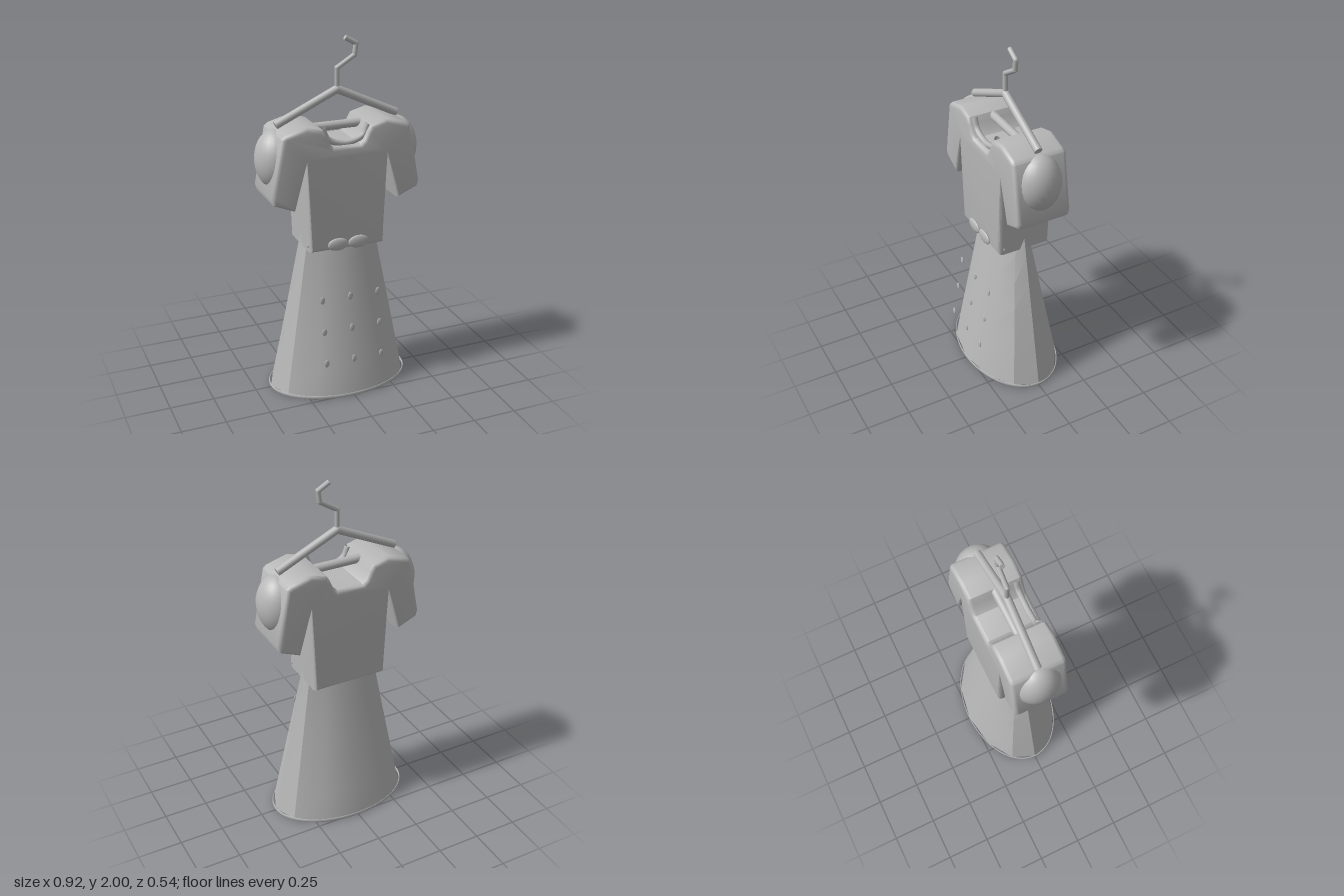
import * as THREE from 'three';
import { toCreasedNormals } from 'three/addons/utils/BufferGeometryUtils.js';

export function createModel() {
  const model = new THREE.Group();
  const grey = new THREE.MeshStandardMaterial({ color: 0xb8b8b8, side: THREE.DoubleSide });
  grey.name = 'plain grey';

  const add = (name, geometry, x = 0, y = 0, z = 0) => {
    const mesh = new THREE.Mesh(geometry, grey);
    mesh.name = name;
    mesh.position.set(x, y, z);
    model.add(mesh);
    return mesh;
  };
  const ellipsoid = (rx, ry, rz, w = 24, h = 16) =>
    new THREE.SphereGeometry(1, w, h).scale(rx, ry, rz);

  // Straight round rod between two points in the hanger plane
  const rod = (name, [x1, y1], [x2, y2], r, sides = 12) => {
    const dx = x2 - x1, dy = y2 - y1;
    const mesh = add(name, new THREE.CylinderGeometry(r, r, Math.hypot(dx, dy), sides),
      (x1 + x2) / 2, (y1 + y2) / 2, 0);
    mesh.rotation.z = -Math.atan2(dx, dy);
  };

  // Bodice with short sleeves: half outline, mirrored and extruded
  const half = [
    [0.215, 0.865], [0.232, 1.36], [0.295, 1.115], [0.415, 1.165], [0.425, 1.2],
    [0.365, 1.52], [0.345, 1.537], [0.225, 1.57], [0.135, 1.545], [0.115, 1.51], [0.095, 1.465], [0.075, 1.447],
  ];
  const outline = [...half, ...half.map(([x, y]) => [-x, y]).reverse()];
  const shape = new THREE.Shape(outline.map(([x, y]) => new THREE.Vector2(x, y)));
  const bevel = 0.022;
  const bodice = new THREE.ExtrudeGeometry(shape, {
    depth: 0.31 - 2 * bevel, bevelEnabled: true, bevelThickness: bevel,
    bevelSize: bevel, bevelOffset: -bevel, bevelSegments: 4,
  });
  bodice.translate(0, 0, -0.155 + bevel);
  add('bodice', toCreasedNormals(bodice, 0.7));

  // Open twelve-sided flared skirt, oval in plan
  const skirt = new THREE.CylinderGeometry(1, 1, 1, 12, 6, true).translate(0, 0.5, 0);
  const p = skirt.attributes.position;
  for (let i = 0; i < p.count; i++) {
    const y = 0.01 + p.getY(i) * 0.97;
    p.setXYZ(i, p.getX(i) * (0.41 - 0.207 * y), y, p.getZ(i) * (0.268 - 0.198 * y));
  }
  add('skirt', toCreasedNormals(skirt, 0.55));

  // Smooth hem ring
  const hem = new THREE.TorusGeometry(1, 0.01, 8, 64).rotateX(Math.PI / 2).scale(0.408, 1, 0.266);
  add('hem', hem, 0, 0.01, 0);

  // Rows of buttons on the skirt front
  [[0.235, 0.257], [0.415, 0.226], [0.595, 0.196]].forEach(([y, z]) => {
    for (const x of [-0.165, 0, 0.165]) add('button', ellipsoid(0.015, 0.023, 0.005, 12, 8), x, y, z);
  });

  for (const side of [-1, 1]) {
    add('puffSleeve', ellipsoid(0.112, 0.163, 0.127), side * 0.35, 1.373, 0);
    add('bowLoop', ellipsoid(0.06, 0.036, 0.013), side * 0.06, 0.9, 0.163);
    rod('hangerArm', [0, 1.717], [side * 0.347, 1.556], 0.022);
  }

  // Sash inside the waist, its ends just showing at the sides
  add('sash', ellipsoid(0.228, 0.03, 0.014), 0, 0.9, 0.125);

  // Collar trim around the front of the neck
  const collarPath = new THREE.CatmullRomCurve3(
    [[-0.128, 1.545], [-0.1, 1.485], [0, 1.453], [0.1, 1.485], [0.128, 1.545]]
      .map(([x, y]) => new THREE.Vector3(x, y, 0.115)));
  add('collar', new THREE.TubeGeometry(collarPath, 16, 0.017, 8));

  // Hanger cross bar and bent hook
  rod('hangerBar', [-0.33, 1.522], [0.33, 1.522], 0.024);
  add('hangerPeak', ellipsoid(0.022, 0.022, 0.022, 12, 8), 0, 1.717, 0);
  const hook = [[0, 1.72], [0, 1.83], [0.1, 1.892], [0.108, 1.952], [0.045, 1.987]];
  for (let i = 1; i < hook.length; i++) {
    rod('hook', hook[i - 1], hook[i], 0.014, 8);
    if (i < hook.length - 1) add('hookBend', ellipsoid(0.014, 0.014, 0.014, 8, 6), ...hook[i], 0);
  }
  return model;
}
